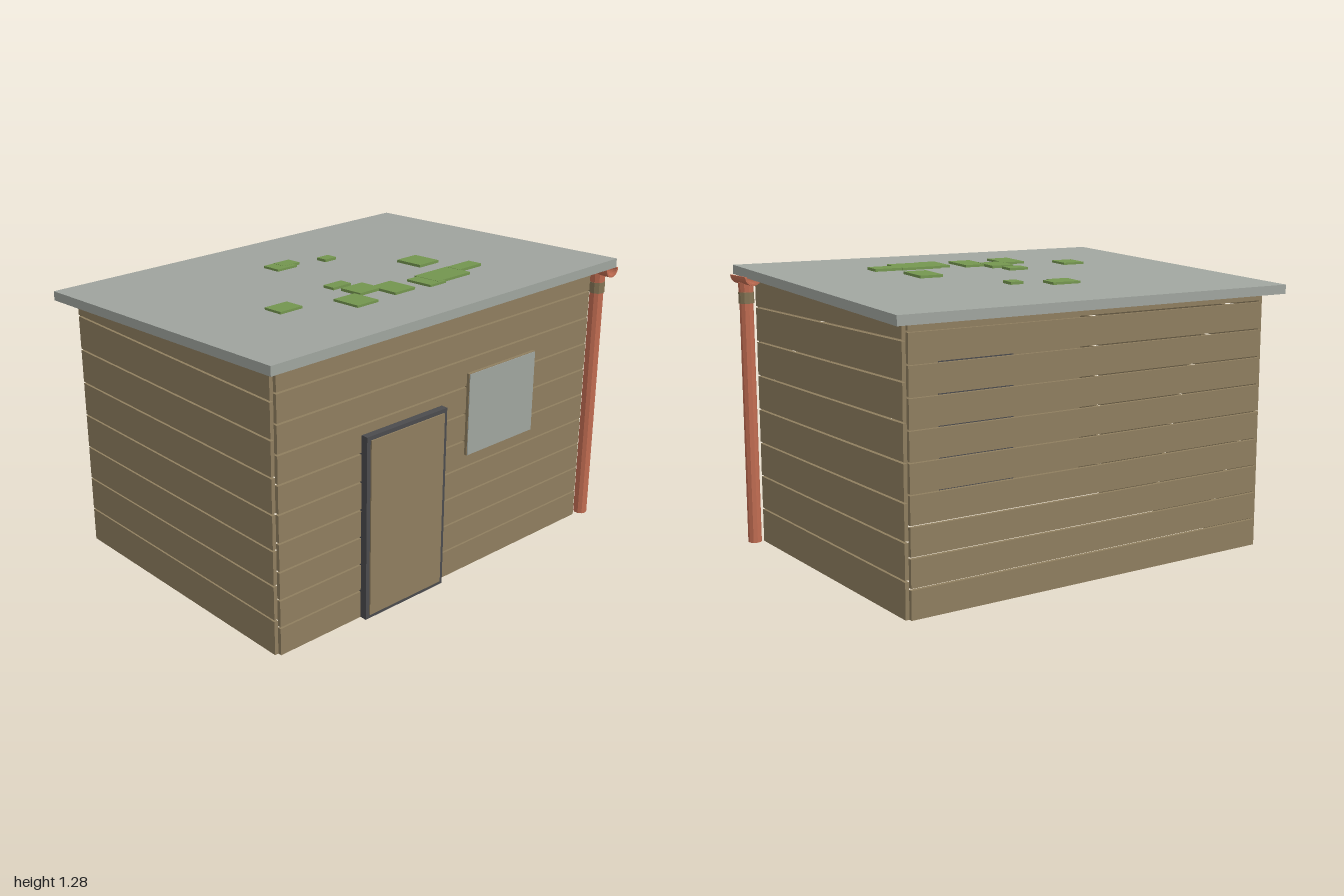
import * as THREE from 'three';

const mat = (name, color, extra = {}) => {
  const m = new THREE.MeshStandardMaterial({ color, ...extra });
  m.name = name;
  return m;
};

export function createModel() {
  const wood = mat('wood', 0x8f7e5f);
  const slate = mat('grey roof', 0xa0a59f);
  const moss = mat('moss green', 0x74964f);
  const copper = mat('copper', 0xc26d52, { flatShading: true });
  const collarWood = mat('collar brown', 0x857555, { flatShading: true });
  const dark = mat('dark frame', 0x4b4b4d);

  const model = new THREE.Group();
  model.name = 'shed';
  const slope = 0.0535, roofTop = 1.238, roofThick = 0.041;
  const underside = (z) => roofTop - roofThick + slope * z;

  const add = (name, geometry, material, parent = model) => {
    const mesh = new THREE.Mesh(geometry, material);
    mesh.name = name;
    parent.add(mesh);
    return mesh;
  };
  const box = (x0, x1, y0, y1, z0, z1) =>
    new THREE.BoxGeometry(x1 - x0, y1 - y0, z1 - z0)
      .translate((x0 + x1) / 2, (y0 + y1) / 2, (z0 + z1) / 2);
  // Moves vertices up or down by a rule of their position
  const bendY = (geometry, rule) => {
    const p = geometry.attributes.position;
    for (let i = 0; i < p.count; i++) p.setY(i, rule(p.getY(i), p.getZ(i)));
    geometry.computeVertexNormals();
    return geometry;
  };

  // Plank walls: separate boards with narrow gaps, the top one cut to the roof slope
  const gap = 0.008;
  const wall = (name, x0, x1, z0, z1, pitch, count) => {
    const group = new THREE.Group();
    group.name = name;
    for (let i = 0; i < count; i++) {
      const bottom = i ? i * pitch + gap / 2 : 0;
      const top = (i + 1) * pitch - gap / 2;
      const g = box(x0, x1, bottom, top, z0, z1);
      if (i === count - 1) bendY(g, (y, z) => (y > bottom + 0.001 ? underside(z) : y));
      add('plank', g, wood, group);
    }
    model.add(group);
  };
  wall('frontWall', -0.915, 0.905, 0.645, 0.662, 0.125, 10);
  wall('backWall', -0.915, 0.905, -0.68, -0.663, 0.125, 10);
  wall('rightWall', -0.932, -0.915, -0.663, 0.645, 0.156, 8);
  wall('leftWall', 0.905, 0.922, -0.663, 0.645, 0.156, 8);

  // Sloping roof slab
  add('roof', bendY(box(-1, 0.985, roofTop - roofThick, roofTop, -0.74, 0.74),
    (y, z) => y + slope * z), slate);

  // Moss patches: x0, x1, z0, z1
  const patches = [
    [-0.155, -0.045, -0.345, -0.245], [-0.1, -0.01, -0.345, -0.27],
    [0.095, 0.16, -0.27, -0.21], [-0.57, -0.455, 0.175, 0.275],
    [-0.195, -0.095, 0.105, 0.17], [-0.18, -0.06, 0.2, 0.32],
    [-0.305, -0.19, 0.295, 0.44], [-0.075, 0.04, 0.27, 0.42],
    [0.305, 0.42, 0.04, 0.185], [0.105, 0.2, 0.305, 0.445],
    [0.165, 0.365, 0.29, 0.43], [0.36, 0.5, 0.295, 0.37],
  ];
  const mossGroup = new THREE.Group();
  mossGroup.name = 'roofMoss';
  model.add(mossGroup);
  patches.forEach(([x0, x1, z0, z1], i) => {
    const g = box(x0, x1, roofTop - 0.005, roofTop + 0.01 + 0.001 * (i % 3), z0, z1);
    add('mossPatch', bendY(g, (y, z) => y + slope * z), moss, mossGroup);
  });

  // Door: dark slab as frame, wooden leaf in front
  add('doorFrame', box(-0.485, -0.033, 0, 0.83, 0.643, 0.694), dark);
  add('doorLeaf', box(-0.466, -0.052, 0.018, 0.812, 0.69, 0.7), wood);

  // Window: inner backing, shallow casing and pane
  add('windowBacking', box(0.085, 0.56, 0.535, 0.96, 0.63, 0.646), wood);
  add('windowCasing', box(0.115, 0.532, 0.56, 0.935, 0.64, 0.676), wood);
  add('windowPane', box(0.117, 0.53, 0.562, 0.933, 0.674, 0.679), slate);

  // Gutter: short half-round trough, open upward
  const section = new THREE.Shape();
  section.absarc(0, 0, 0.04, Math.PI, 2 * Math.PI, false);
  section.absarc(0, 0, 0.031, 2 * Math.PI, Math.PI, true);
  section.closePath();
  const trough = new THREE.ExtrudeGeometry(section,
    { depth: 0.165, bevelEnabled: false, curveSegments: 6 });
  add('gutter', trough.translate(0.96, 1.234, 0.575), copper);

  // Downpipe with funnel and collar
  const tube = (name, rTop, rBottom, y0, y1, material) =>
    add(name, new THREE.CylinderGeometry(rTop, rBottom, y1 - y0, 10)
      .translate(0.96, (y0 + y1) / 2, 0.661), material);
  tube('downpipe', 0.031, 0.031, 0, 1.16, copper);
  tube('pipeCollar', 0.035, 0.035, 1.11, 1.16, collarWood);
  tube('pipeFunnel', 0.035, 0.033, 1.16, 1.205, copper);

  return model;
}
